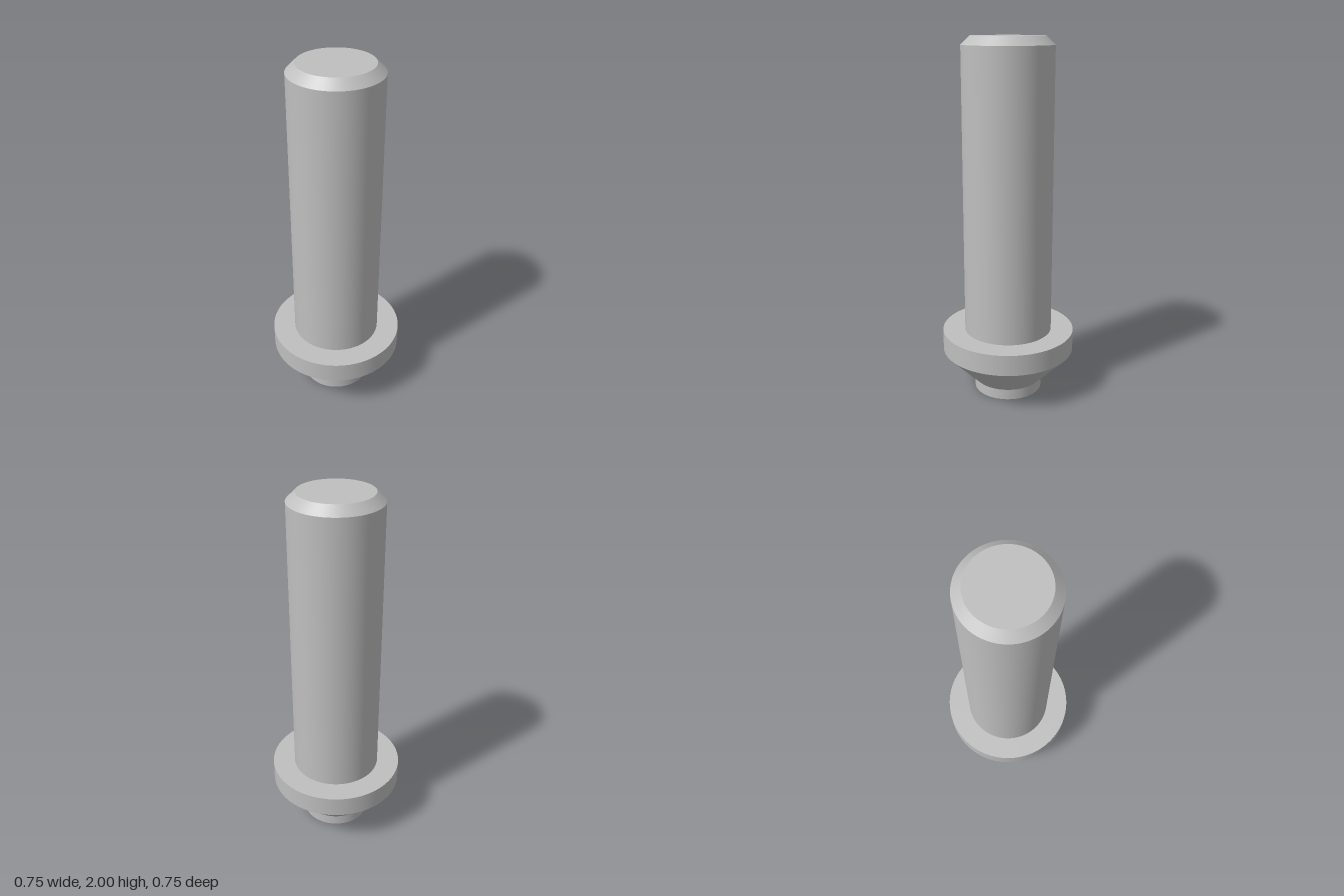
import * as THREE from 'three';

const SEGMENTS = 96;

export function createModel() {
  const model = new THREE.Group();
  model.name = 'flangedPin';
  const steel = new THREE.MeshStandardMaterial({ color: 0xbfbfbf });
  steel.name = 'steel grey';

  const add = (name, geometry) => {
    const mesh = new THREE.Mesh(geometry, steel);
    mesh.name = name;
    model.add(mesh);
  };

  // Open side walls, stacked from the bottom: name, lower and upper radius, lower and upper height
  const walls = [
    ['tip', 0.193, 0.193, 0, 0.06],
    ['cone', 0.193, 0.375, 0.06, 0.245],
    ['flange', 0.375, 0.375, 0.245, 0.363],
    ['shaft', 0.248, 0.248, 0.363, 1.953],
    ['topChamfer', 0.248, 0.2, 1.953, 2],
  ];
  for (const [name, r0, r1, y0, y1] of walls) {
    const wall = new THREE.CylinderGeometry(r1, r0, y1 - y0, SEGMENTS, 1, true);
    add(name, wall.translate(0, (y0 + y1) / 2, 0));
  }

  // Flat faces: the two ends and the flange shoulder
  const disc = (radius) => new THREE.CircleGeometry(radius, SEGMENTS);
  add('bottomFace', disc(0.193).rotateX(Math.PI / 2));
  add('topFace', disc(0.2).rotateX(-Math.PI / 2).translate(0, 2, 0));
  const shoulder = new THREE.RingGeometry(0.248, 0.375, SEGMENTS);
  add('flangeShoulder', shoulder.rotateX(-Math.PI / 2).translate(0, 0.363, 0));

  return model;
}
